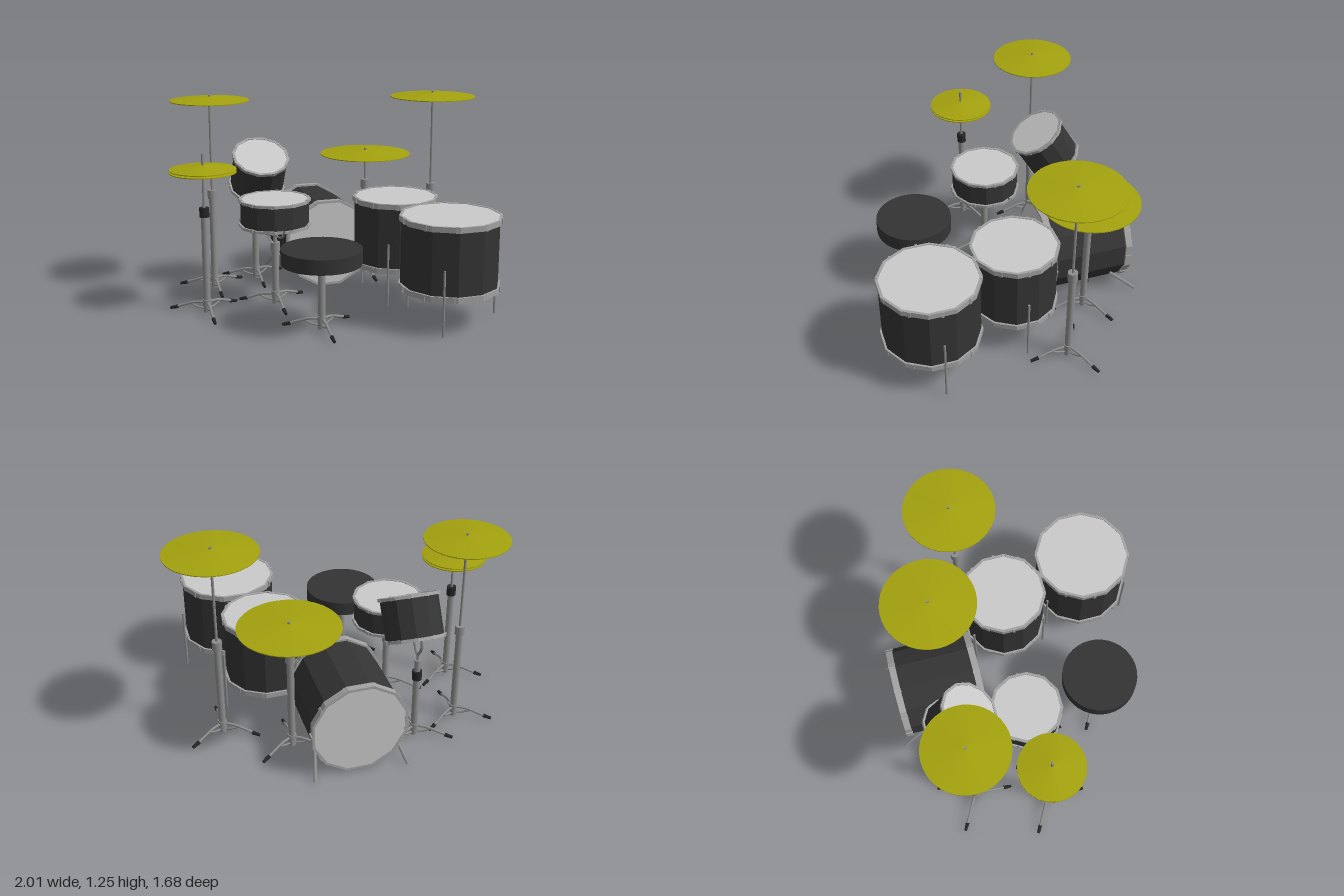
import * as THREE from 'three';

const mat = (name, color) => {
  const m = new THREE.MeshStandardMaterial({ color });
  m.name = name;
  return m;
};

export function createModel() {
  const shellMat = mat('dark shell', 0x343434);
  const headMat = mat('drum head', 0xcacaca);
  const hoopMat = mat('hoop metal', 0xa2a2a2);
  const metalMat = mat('stand metal', 0x8e8e8e);
  const rubberMat = mat('rubber', 0x262626);
  const brassMat = mat('brass', 0xa4a20e);

  const root = new THREE.Group();
  root.name = 'drumKit';
  const V = (x, y, z) => new THREE.Vector3(x, y, z);

  const group = (name, x, y, z, parent = root) => {
    const g = new THREE.Group();
    g.name = name;
    g.position.set(x, y, z);
    parent.add(g);
    return g;
  };
  const add = (parent, name, geo, material) => {
    const m = new THREE.Mesh(geo, material);
    m.name = name;
    parent.add(m);
    return m;
  };
  const flat = (geo) => {
    const g = geo.toNonIndexed();
    g.computeVertexNormals();
    return g;
  };
  // faceted solid of revolution from [radius, y] pairs
  const turned = (pairs, sides, start = 0) =>
    flat(new THREE.LatheGeometry(pairs.map(([r, y]) => new THREE.Vector2(r, y)), sides, start));
  // upright cylinder between two heights
  const post = (parent, name, r, y0, y1, material, sides = 14) => {
    const m = add(parent, name, new THREE.CylinderGeometry(r, r, y1 - y0, sides), material);
    m.position.y = (y0 + y1) / 2;
    return m;
  };
  const tube = (parent, name, pts, r, material) =>
    add(parent, name, new THREE.TubeGeometry(new THREE.CatmullRomCurve3(pts), 10, r, 8), material);

  // ---- drums: shell, two hoops with tension blocks, two heads; axis along y, centred
  const SIDES = 12, TURN = Math.PI / SIDES;
  function drum(name, x, y, z, R, depth, hoopH) {
    const g = group(name, x, y, z);
    const half = depth / 2, shellR = R - 0.012;
    const shell = new THREE.CylinderGeometry(shellR, shellR, depth - hoopH, SIDES, 1, true, TURN);
    add(g, 'shell', flat(shell), shellMat);
    for (const s of [1, -1]) {
      const end = group(s > 0 ? 'topEnd' : 'bottomEnd', 0, 0, 0, g);
      if (s < 0) end.rotation.x = Math.PI;
      const ri = R - 0.016, y0 = half - hoopH;
      add(end, 'hoop', turned([[ri, y0], [R, y0], [R, half], [ri, half], [ri, y0]], SIDES, TURN), hoopMat);
      const head = add(end, 'head', new THREE.CircleGeometry(R - 0.014, SIDES, TURN), headMat);
      head.rotation.x = -Math.PI / 2;
      head.position.y = half - 0.003;
      for (let i = 0; i < 10; i++) {
        const a = i / 10 * Math.PI * 2;
        const block = add(end, 'tensionBlock', new THREE.BoxGeometry(0.014, hoopH + 0.004, 0.016), hoopMat);
        block.position.set(Math.cos(a) * (R - 0.01), half - hoopH / 2, Math.sin(a) * (R - 0.01));
        block.rotation.y = -a;
      }
    }
    return g;
  }

  const bass = drum('bassDrum', 0.045, 0.293, -0.53, 0.29, 0.535, 0.04);
  bass.rotation.x = Math.PI / 2;
  for (const s of [-1, 1])
    tube(root, 'bassSpur', [V(0.045 + s * 0.235, 0.15, -0.675), V(0.045 + s * 0.255, 0.08, -0.757),
      V(0.045 + s * 0.278, 0.01, -0.84)], 0.01, metalMat);

  // floor toms, each on three rods
  for (const [x, z, R] of [[0.515, 0.548, 0.3], [0.39, 0.002, 0.266]]) {
    const tom = drum('floorTom', x, 0.428, z, R, 0.435, 0.032);
    for (let i = 0; i < 3; i++) {
      const a = i * Math.PI * 2 / 3;
      const leg = post(tom, 'floorTomLeg', 0.007, -0.416, -0.028, metalMat, 8);
      leg.position.x = Math.cos(a) * (R + 0.001);
      leg.position.z = Math.sin(a) * (R + 0.001);
    }
  }

  drum('snareDrum', -0.37, 0.585, -0.055, 0.219, 0.17, 0.016);
  const rackTom = drum('rackTom', -0.368, 0.755, -0.458, 0.182, 0.262, 0.018);
  rackTom.rotation.x = 0.54;

  // ---- tripod stand: tube, collar, three curved legs with braces and rubber feet
  const spin = (i) => i * Math.PI * 2 / 3;
  function stand(name, x, z, height, collarMat = metalMat) {
    const g = group(name, x, 0, z);
    post(g, 'tube', 0.021, 0.006, height, metalMat);
    post(g, 'collar', 0.029, height - 0.005, height + 0.052, collarMat);
    post(g, 'hub', 0.026, 0.045, 0.085, metalMat);
    for (let i = 0; i < 3; i++) {
      const leg = group('leg', 0, 0, 0, g);
      leg.rotation.y = spin(i);
      tube(leg, 'legBar', [V(0, 0.066, 0.015), V(0, 0.062, 0.08), V(0, 0.04, 0.15), V(0, 0.024, 0.2)], 0.008, metalMat);
      tube(leg, 'legBrace', [V(0, 0.025, 0.015), V(0, 0.034, 0.06), V(0, 0.054, 0.105)], 0.006, metalMat);
      const foot = add(leg, 'foot', new THREE.CylinderGeometry(0.009, 0.012, 0.05, 8), rubberMat);
      foot.position.set(0, 0.02, 0.21);
      foot.rotation.x = Math.PI / 2 + 0.25;
    }
    return g;
  }

  // ---- cymbals: shallow cones
  function cymbal(parent, y, R, height = 0.026) {
    const m = add(parent, 'cymbal', turned([[0, 0], [R, 0], [R, 0.005], [0.012, height], [0, height]], 40), brassMat);
    m.position.y = y;
    return m;
  }
  for (const [name, x, z, R, y] of [
    ['leftCrash', 0.728, -0.225, 0.269, 1.218],
    ['rightCrash', -0.67, -0.47, 0.245, 1.218],
    ['ride', 0.36, -0.47, 0.295, 0.824]]) {
    const g = stand(name + 'Stand', x, z, 0.6);
    post(g, 'rod', 0.008, 0.64, y + 0.037, metalMat, 8);
    cymbal(g, y, R);
  }

  // hi-hat: two facing cymbals on one rod
  const hat = stand('hiHatStand', -0.804, -0.027, 0.6, rubberMat);
  post(hat, 'rod', 0.008, 0.64, 0.975, metalMat, 8);
  cymbal(hat, 0.878, 0.196, 0.028);
  cymbal(hat, 0.868, 0.196, 0.028).rotation.x = Math.PI;

  // snare stand with a three-armed basket
  const snareStand = stand('snareStand', -0.372, -0.05, 0.345);
  post(snareStand, 'rod', 0.012, 0.39, 0.46, metalMat, 8);
  for (let i = 0; i < 3; i++) {
    const arm = group('basketArm', 0, 0, 0, snareStand);
    arm.rotation.y = spin(i);
    tube(arm, 'armBar', [V(0, 0.44, 0), V(0, 0.452, 0.1), V(0, 0.485, 0.19), V(0, 0.53, 0.222)], 0.007, metalMat);
  }

  // rack tom stand with a bent bracket
  const tomStand = stand('tomStand', -0.37, -0.575, 0.41, rubberMat);
  post(tomStand, 'rod', 0.018, 0.46, 0.535, metalMat);
  tube(tomStand, 'bracket', [V(0, 0.52, 0), V(0, 0.575, 0.0), V(0, 0.61, -0.03), V(0, 0.66, -0.05), V(0, 0.71, -0.04)], 0.009, metalMat);
  tube(tomStand, 'bracketArm', [V(0, 0.57, 0), V(0, 0.59, 0.03), V(0, 0.63, 0.06)], 0.012, metalMat);

  // stool
  const stool = stand('stool', -0.234, 0.455, 0.345);
  const seat = add(stool, 'seat', new THREE.CylinderGeometry(0.233, 0.233, 0.087, 36), shellMat);
  seat.position.y = 0.444;

  return root;
}
